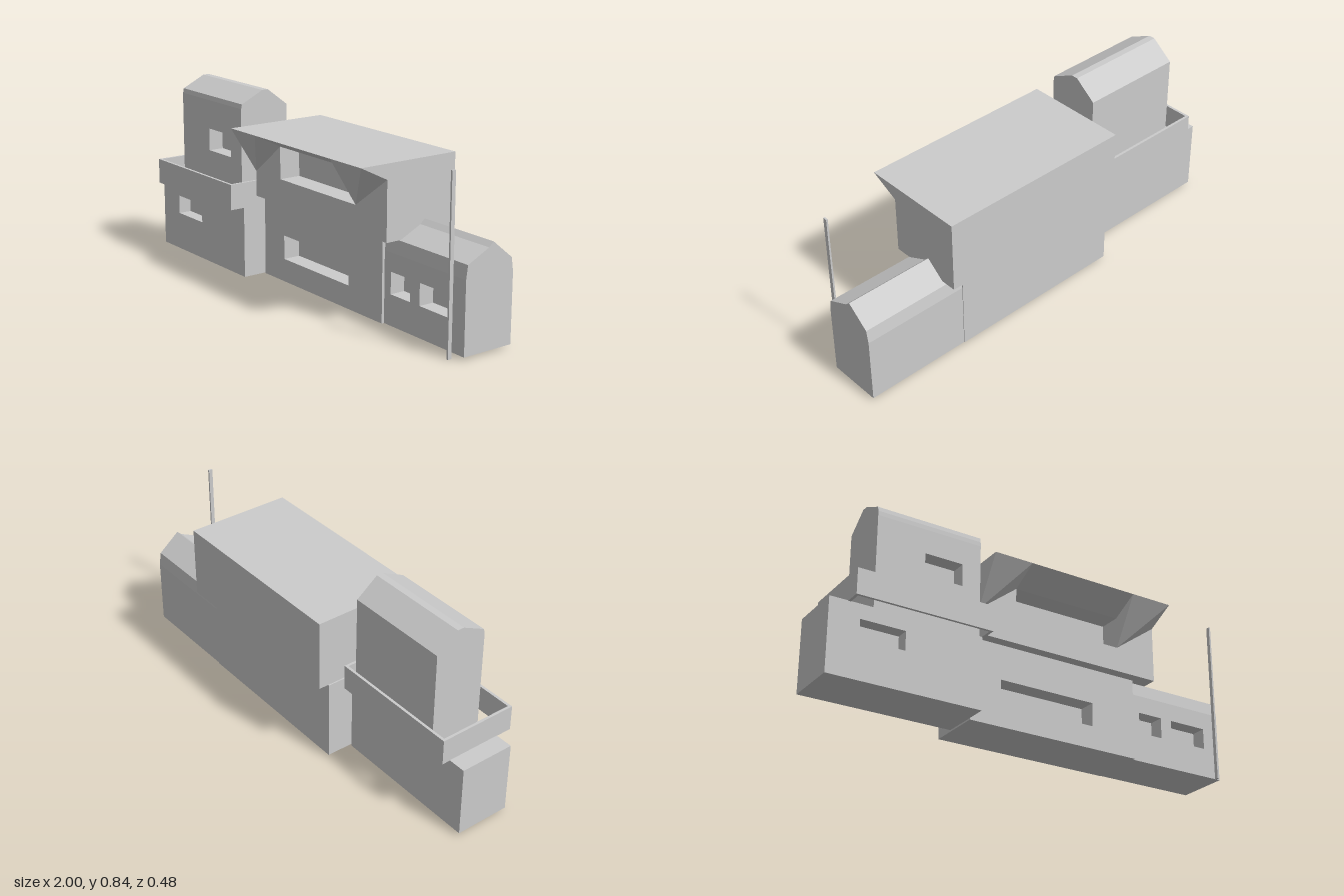
import * as THREE from 'three';

const material = new THREE.MeshStandardMaterial({ color: 0xcccccc, flatShading: true });
const thin = new THREE.MeshStandardMaterial({ color: 0xcccccc, flatShading: true, side: THREE.DoubleSide });

function addMesh(parent, name, geometry, mat = material) {
  const mesh = new THREE.Mesh(geometry, mat);
  mesh.name = name;
  parent.add(mesh);
  return mesh;
}

// Box given by its extents on each axis
function addBox(parent, name, [x0, x1], [y0, y1], [z0, z1]) {
  const mesh = addMesh(parent, name, new THREE.BoxGeometry(x1 - x0, y1 - y0, z1 - z0));
  mesh.position.set((x0 + x1) / 2, (y0 + y1) / 2, (z0 + z1) / 2);
}

function rectPoints([x0, x1], [y0, y1]) {
  return [[x0, y0], [x1, y0], [x1, y1], [x0, y1]].map(([x, y]) => new THREE.Vector2(x, y));
}

// A building: front wall pierced by windows, and a body behind and above it.
// roof lists [z, y] points from the front eave to the back eave.
function addBuilding(parent, name, { x, base, back, front, eave, roof, recess, windows, wallTop = eave }) {
  const group = new THREE.Group();
  group.name = name;
  parent.add(group);

  const wall = new THREE.Shape(rectPoints(x, [base, wallTop]));
  wall.holes = windows.map(([wx, wy]) => new THREE.Path(rectPoints(wx, wy)));
  const wallGeometry = new THREE.ExtrudeGeometry(wall, { depth: recess, bevelEnabled: false });
  addMesh(group, 'windowWall', wallGeometry.translate(0, 0, front - recess));

  const inner = front - recess;
  const outline = [[back, base], [inner, base], [inner, eave], [front, eave], ...roof];
  const section = new THREE.Shape(outline.map(([z, y]) => new THREE.Vector2(-z, y)));
  const body = new THREE.ExtrudeGeometry(section, { depth: x[1] - x[0], bevelEnabled: false });
  addMesh(group, 'body', body.rotateY(Math.PI / 2).translate(x[0], 0, 0));
  return group;
}

// Pyramid hanging from the sloped soffit down to a point on the wall
function bracketGeometry(x0, x1, tipX) {
  const a = [x0, 0.7, 0.24], b = [x1, 0.7, 0.24], c = [x1, 0.635, 0.11], d = [x0, 0.635, 0.11];
  const tip = [tipX, 0.492, 0.11];
  const corners = [a, b, c, d];
  const points = [];
  corners.forEach((p, i) => points.push(...p, ...tip, ...corners[(i + 1) % 4]));
  const geometry = new THREE.BufferGeometry();
  geometry.setAttribute('position', new THREE.Float32BufferAttribute(points, 3));
  geometry.computeVertexNormals();
  return geometry;
}

export function createModel() {
  const model = new THREE.Group();
  model.name = 'buildingRow';

  // Low flat-topped block at one end
  addBuilding(model, 'endBlock', {
    x: [-1, -0.315], base: 0.012, back: -0.08, front: 0.168, eave: 0.32, recess: 0.06,
    roof: [[0.168, 0.335], [-0.08, 0.335]],
    windows: [[[-0.865, -0.665], [0.185, 0.27]]],
  });

  // House standing on the end block
  addBuilding(model, 'upperHouse', {
    x: [-0.81, -0.33], base: 0.335, back: -0.075, front: 0.167, eave: 0.75, recess: 0.07,
    roof: [[0.166, 0.77], [0.162, 0.79], [0.055, 0.842], [0.025, 0.842], [-0.074, 0.766]],
    windows: [[[-0.59, -0.415], [0.54, 0.64]]],
  });

  // Open parapet frame around the foot of the house
  const parapet = new THREE.Group();
  parapet.name = 'parapet';
  model.add(parapet);
  const px = [-0.92, -0.308], pz = [-0.117, 0.24], py = [0.333, 0.447], t = 0.012;
  for (const [z0, z1] of [[pz[0], pz[0] + t], [pz[1] - t, pz[1]]]) addBox(parapet, 'longParapet', px, py, [z0, z1]);
  for (const [x0, x1] of [[px[0], px[0] + t], [px[1] - t, px[1]]]) {
    addBox(parapet, 'shortParapet', [x0, x1], py, [pz[0] + t, pz[1] - t]);
  }

  // Central ground floor
  addBuilding(model, 'centreGroundFloor', {
    x: [-0.306, 0.52], base: 0.012, back: -0.195, front: 0.062, eave: 0.36, recess: 0.08,
    roof: [[0.062, 0.38], [-0.195, 0.38]],
    windows: [[[-0.16, 0.3], [0.115, 0.222]]],
  });

  // Central upper floor with a sloped overhang along the front
  const upper = addBuilding(model, 'centreUpperFloor', {
    x: [-0.3, 0.603], base: 0.38, back: -0.24, front: 0.11, eave: 0.635, recess: 0.1, wallTop: 0.66,
    roof: [[0.24, 0.7], [-0.24, 0.7]],
    windows: [[[-0.118, 0.405], [0.492, 0.635]]],
  });
  addMesh(upper, 'leftBracket', bracketGeometry(0.405, 0.603, 0.405), thin);
  addMesh(upper, 'rightBracket', bracketGeometry(-0.3, -0.118, -0.3), thin);

  // Gabled house at the other end
  addBuilding(model, 'gabledHouse', {
    x: [0.52, 1], base: 0.012, back: -0.192, front: 0.05, eave: 0.32, recess: 0.07,
    roof: [[0.042, 0.378], [-0.063, 0.428], [-0.085, 0.448], [-0.183, 0.368], [-0.192, 0.31]],
    windows: [[[0.56, 0.68], [0.145, 0.24]], [[0.737, 0.92], [0.145, 0.24]]],
  });

  // Freestanding pole
  addBox(model, 'pole', [0.951, 0.959], [0, 0.741], [0.077, 0.095]);

  return model;
}
